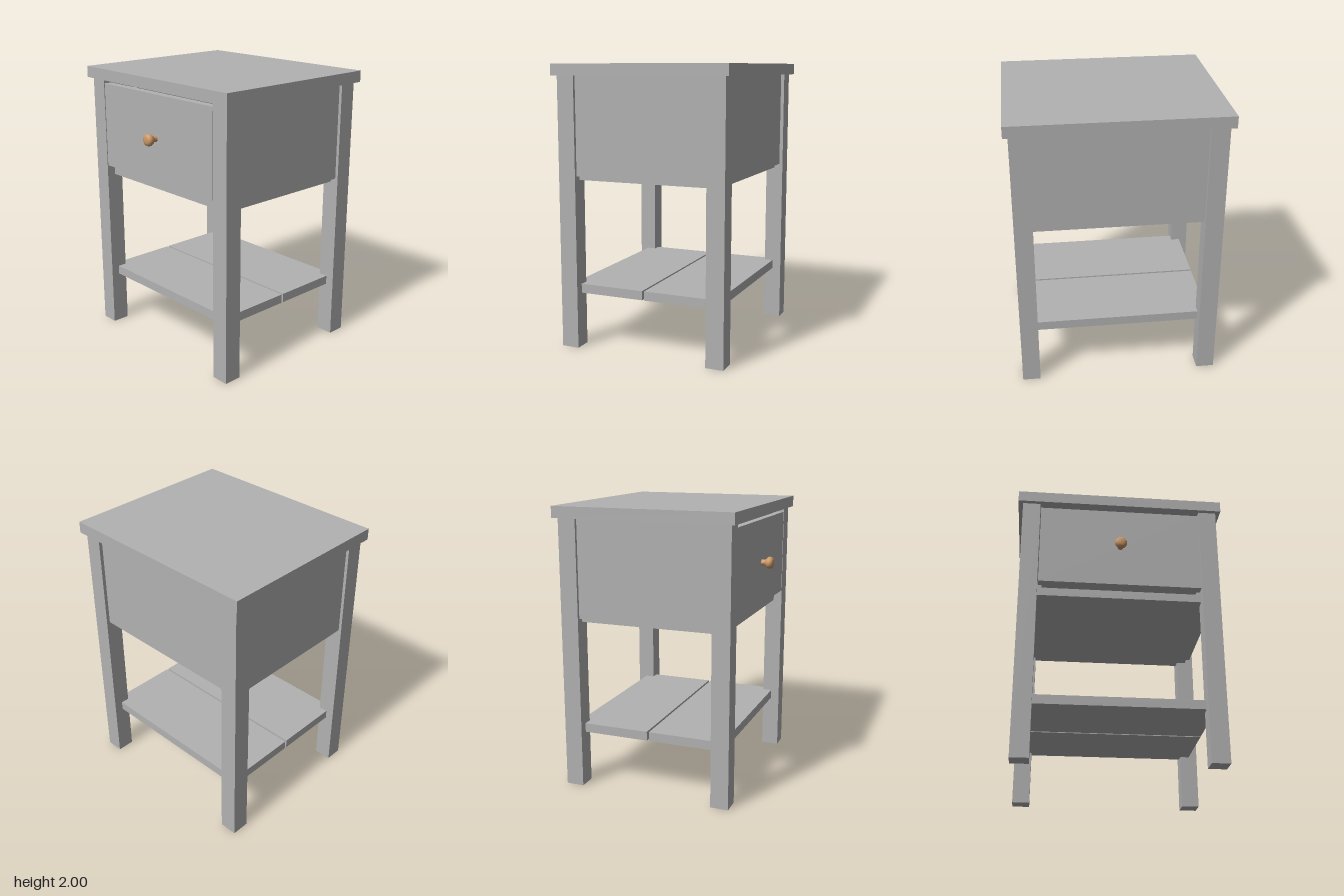
import * as THREE from 'three';

export function createModel() {
  const model = new THREE.Group();
  model.name = 'bedsideTable';

  const paint = new THREE.MeshStandardMaterial({ color: 0xb2b2b2 });
  paint.name = 'grey paint';
  const wood = new THREE.MeshStandardMaterial({ color: 0xcc9966 });
  wood.name = 'knob wood';

  // Box given by its limits on each axis
  function board(name, [x0, x1], [y0, y1], [z0, z1], parent = model) {
    const mesh = new THREE.Mesh(new THREE.BoxGeometry(x1 - x0, y1 - y0, z1 - z0), paint);
    mesh.position.set((x0 + x1) / 2, (y0 + y1) / 2, (z0 + z1) / 2);
    mesh.name = name;
    parent.add(mesh);
  }

  // Overhanging top
  board('tableTop', [-0.74, 0.74], [1.92, 2], [-0.67, 0.617]);

  // Legs and recessed side panels, mirrored left and right
  for (const [side, s] of [['left', 1], ['right', -1]]) {
    const span = (a, b) => (s > 0 ? [a, b] : [-b, -a]);
    board(side + 'FrontLeg', span(0.58, 0.707), [0, 1.92], [0.46, 0.587]);
    board(side + 'BackLeg', span(0.58, 0.707), [0, 1.92], [-0.64, -0.512]);
    board(side + 'Panel', span(0.645, 0.685), [1.23, 1.92], [-0.575, 0.525]);
  }
  board('backPanel', [-0.645, 0.645], [1.23, 1.92], [-0.615, -0.575]);

  // Cabinet floor, tenoned into the legs
  board('cabinetFloor', [-0.645, 0.645], [1.2, 1.26], [-0.575, 0.525]);

  // Two shelf planks with a narrow gap
  board('frontShelfPlank', [-0.645, 0.645], [0.39, 0.455], [-0.017, 0.525]);
  board('backShelfPlank', [-0.645, 0.645], [0.39, 0.455], [-0.575, -0.033]);

  // Drawer
  const drawer = new THREE.Group();
  drawer.name = 'drawer';
  model.add(drawer);
  board('drawerFront', [-0.575, 0.575], [1.28, 1.89], [0.525, 0.585], drawer);
  board('drawerBottom', [-0.55, 0.55], [1.28, 1.31], [-0.5, 0.525], drawer);
  board('drawerBack', [-0.55, 0.55], [1.31, 1.84], [-0.5, -0.46], drawer);
  board('drawerLeftSide', [0.51, 0.55], [1.31, 1.84], [-0.46, 0.525], drawer);
  board('drawerRightSide', [-0.55, -0.51], [1.31, 1.84], [-0.46, 0.525], drawer);

  // Turned knob: neck, flared head and domed face
  const profile = [
    [0.022, 0], [0.02, 0.02], [0.024, 0.033], [0.036, 0.042], [0.043, 0.055],
    [0.042, 0.067], [0.036, 0.081], [0.02, 0.086], [0, 0.087],
  ].map(([r, h]) => new THREE.Vector2(r, h));
  const knob = new THREE.Mesh(new THREE.LatheGeometry(profile, 20), wood);
  knob.name = 'drawerKnob';
  knob.rotation.x = Math.PI / 2;
  knob.position.set(0, 1.585, 0.583);
  drawer.add(knob);

  return model;
}
